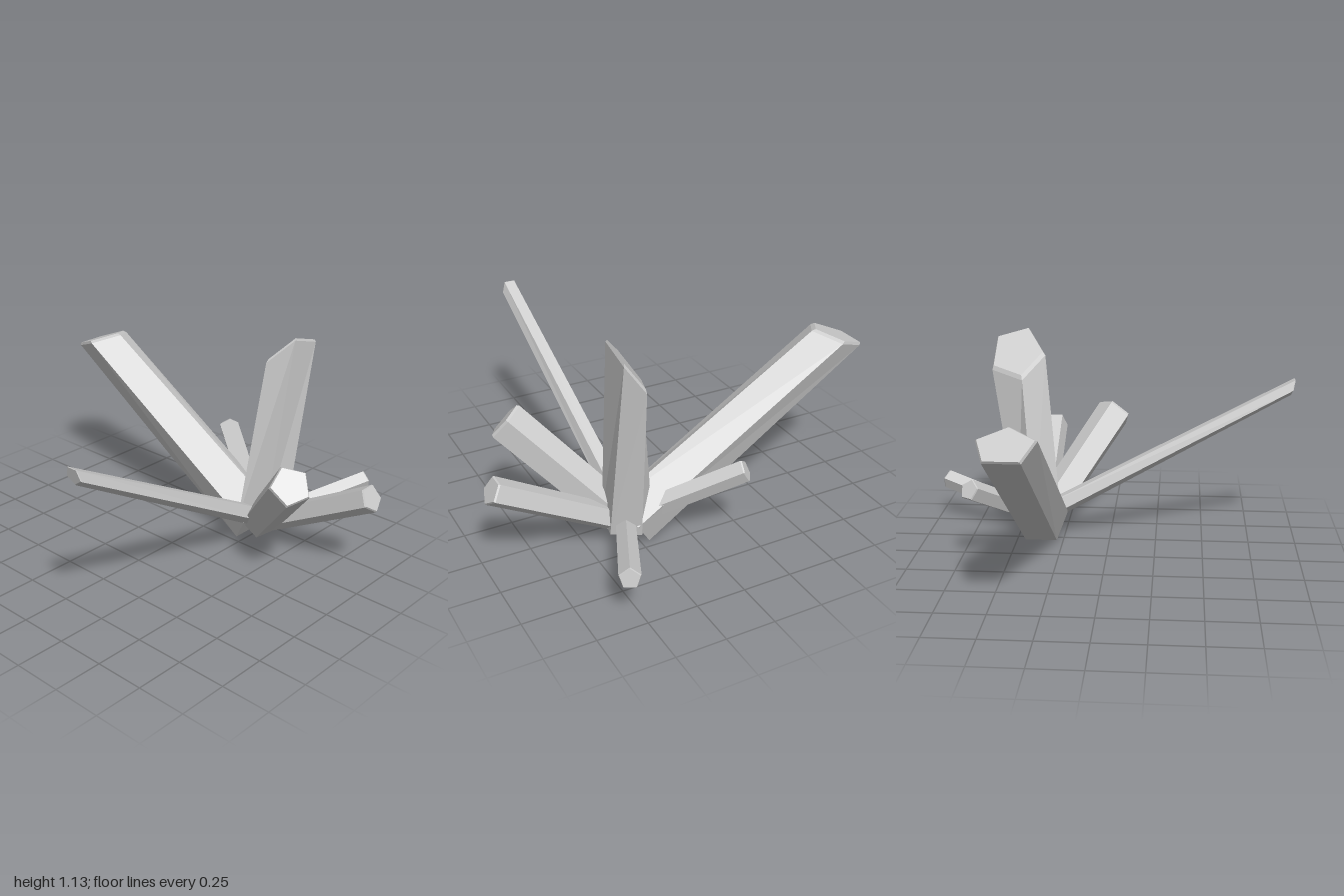
import * as THREE from 'three';

const SIDES = 5;
const v = (a) => new THREE.Vector3(...a);

// Pentagon around a centre, facing normal, first corner towards ridge
function ring(center, normal, ridge, radius) {
  const up = ridge.clone().addScaledVector(normal, -ridge.dot(normal)).normalize();
  const side = normal.clone().cross(up);
  return Array.from({ length: SIDES }, (_, i) => {
    const a = (i / SIDES) * Math.PI * 2;
    return center.clone()
      .addScaledVector(up, radius * Math.cos(a))
      .addScaledVector(side, radius * Math.sin(a));
  });
}

// Five-sided shard: square-cut base, cut tip with a narrow bevel
function crystal({ base, tip, ridge, baseRadius, tipRadius, cut }) {
  const b = v(base), t = v(tip), r = v(ridge);
  const axis = t.clone().sub(b).normalize();
  const normal = cut ? v(cut).normalize() : axis;
  const bevel = tipRadius * 0.12;
  const rings = [
    ring(b, axis, r, baseRadius),
    ring(t.clone().addScaledVector(axis, -bevel), normal, r, tipRadius),
    ring(t, normal, r, tipRadius * 0.93),
  ];
  const points = rings.flat();
  const index = [];
  for (let k = 0; k < rings.length - 1; k++) {
    for (let i = 0; i < SIDES; i++) {
      const j = (i + 1) % SIDES, lo = k * SIDES, hi = lo + SIDES;
      index.push(lo + i, lo + j, hi + j, lo + i, hi + j, hi + i);
    }
  }
  const top = (rings.length - 1) * SIDES;
  for (let i = 1; i < SIDES - 1; i++) {
    index.push(0, i + 1, i, top, top + i, top + i + 1);
  }
  const geometry = new THREE.BufferGeometry().setFromPoints(points);
  geometry.setIndex(index);
  const flat = geometry.toNonIndexed();
  flat.computeVertexNormals();
  return flat;
}

const UP = [0, 1, 0], DOWN = [0, -1, 0];

const CRYSTALS = {
  largeLeaningCrystal: {
    base: [0.27, 0.1, -0.37], tip: [-0.893, 0.852, -0.37], ridge: [0.93, 0.37, 0],
    baseRadius: 0.145, tipRadius: 0.143, cut: [-0.365, 0.93, 0],
  },
  tallCrystal: {
    base: [0.29, 0.1, -0.375], tip: [0.343, 1.014, -0.5], ridge: [0.08, 0.12, 0.06],
    baseRadius: 0.13, tipRadius: 0.155, cut: [-0.8, 0.58, -0.155],
  },
  thickFrontCrystal: {
    base: [0.3, 0.105, -0.36], tip: [0.755, 0.595, 0], ridge: [-0.064, 0.076, -0.01],
    baseRadius: 0.095, tipRadius: 0.103,
  },
  rightCrystal: {
    base: [0.3, 0.1, -0.37], tip: [0.968, 0.468, -0.37], ridge: DOWN,
    baseRadius: 0.065, tipRadius: 0.071,
  },
  longFrontCrystal: {
    base: [0.285, 0.13, -0.36], tip: [0.335, 0.85, 0.96], ridge: DOWN,
    baseRadius: 0.057, tipRadius: 0.048, cut: [0, -0.2, 0.98],
  },
  backCrystal: {
    base: [0.3, 0.11, -0.38], tip: [0.56, 0.225, -0.945], ridge: UP,
    baseRadius: 0.05, tipRadius: 0.053,
  },
  smallBackCrystal: {
    base: [0.28, 0.12, -0.37], tip: [-0.195, 0.415, -0.675], ridge: UP,
    baseRadius: 0.055, tipRadius: 0.056,
  },
};

export function createModel() {
  const group = new THREE.Group();
  group.name = 'crystalCluster';
  const material = new THREE.MeshStandardMaterial({ color: 0xcccccc, flatShading: true });
  for (const [name, spec] of Object.entries(CRYSTALS)) {
    const mesh = new THREE.Mesh(crystal(spec), material);
    mesh.name = name;
    group.add(mesh);
  }
  return group;
}
